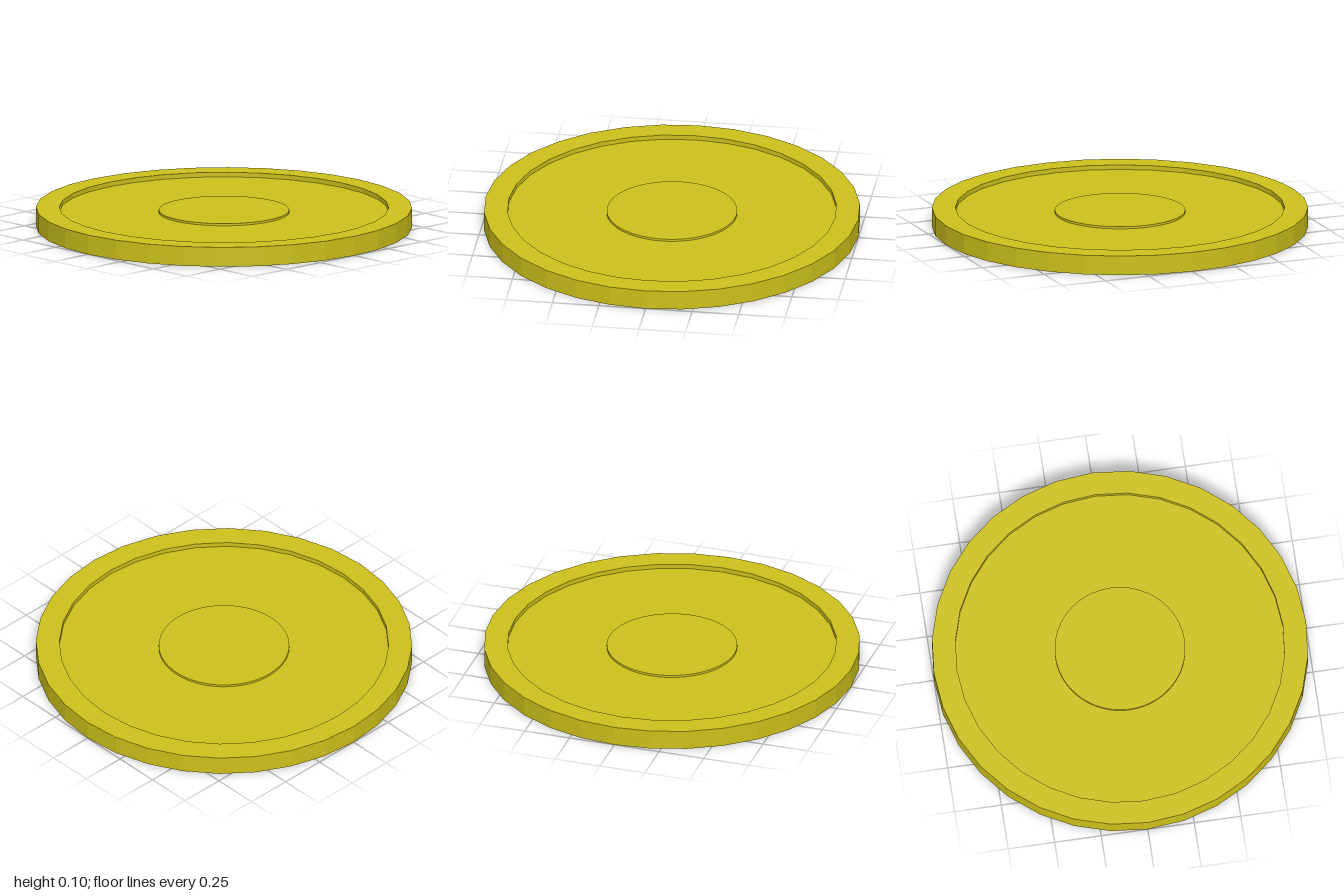
import * as THREE from 'three';

const THICKNESS = 0.105;
const RECESS = 0.025; // depth of the face below the rim
const BOSS = 0.012; // height of the central disc above the face

export function createModel() {
  const coin = new THREE.Group();
  coin.name = 'coin';

  // Faceted body: recessed faces inside a raised rim, the same on both sides
  const profile = [
    [0, RECESS], [0.875, RECESS], [0.875, 0], [1, 0],
    [1, THICKNESS], [0.875, THICKNESS], [0.875, THICKNESS - RECESS], [0, THICKNESS - RECESS],
  ].map(([r, y]) => new THREE.Vector2(r, y));
  const body = new THREE.Mesh(
    new THREE.LatheGeometry(profile, 32),
    new THREE.MeshStandardMaterial({ color: 0xccc01a, flatShading: true })
  );
  body.name = 'rimmedBody';
  coin.add(body);

  // Smooth central disc standing slightly proud of both faces
  const height = THICKNESS - 2 * (RECESS - BOSS);
  const disc = new THREE.Mesh(
    new THREE.CylinderGeometry(0.347, 0.347, height, 64),
    new THREE.MeshStandardMaterial({ color: 0xccc01a })
  );
  disc.name = 'centralDisc';
  disc.position.y = THICKNESS / 2;
  coin.add(disc);

  return coin;
}
